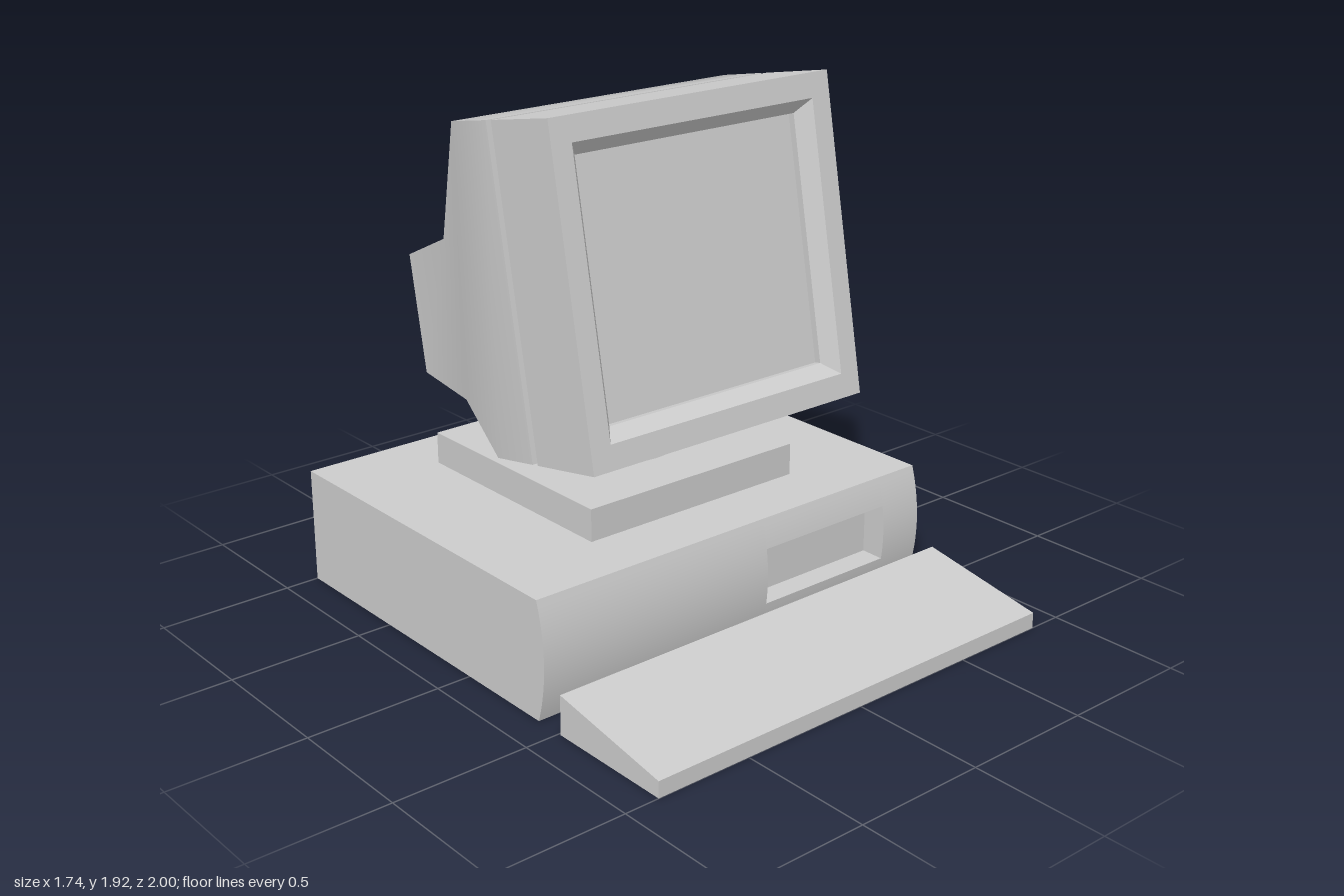
import * as THREE from 'three';
import { toCreasedNormals } from 'three/addons/utils/BufferGeometryUtils.js';

const material = new THREE.MeshStandardMaterial({ color: 0xcccccc });

function add(parent, name, geometry, x = 0, y = 0, z = 0) {
  const mesh = new THREE.Mesh(geometry, material);
  mesh.name = name;
  mesh.position.set(x, y, z);
  parent.add(mesh);
  return mesh;
}

// Extrudes a side profile of [z, y] points from x0 to x1
function sideExtrude(points, x0, x1) {
  const shape = new THREE.Shape(points.map(([z, y]) => new THREE.Vector2(z, y)));
  const geo = new THREE.ExtrudeGeometry(shape, { depth: x1 - x0, bevelEnabled: false });
  geo.rotateY(-Math.PI / 2).translate(x1, 0, 0);
  return toCreasedNormals(geo, 0.6);
}

// Points on the bowed front of the case, from y0 up to y1
function bowedFront(y0, y1, steps) {
  return Array.from({ length: steps + 1 }, (_, i) => {
    const y = y0 + (y1 - y0) * i / steps;
    return [0.393 + 0.035 * (1 - ((y - 0.218) / 0.218) ** 2), y];
  });
}

// Rectangular frame, hole given by half width and margin; lies from z = -depth to 0
const W = 0.607, H = 1.158;
function frame(holeX, margin, depth) {
  const shape = new THREE.Shape([[-W, 0], [W, 0], [W, H], [-W, H]].map(p => new THREE.Vector2(...p)));
  shape.holes.push(new THREE.Path([
    [-holeX, margin], [-holeX, H - margin], [holeX, H - margin], [holeX, margin],
  ].map(p => new THREE.Vector2(...p))));
  return new THREE.ExtrudeGeometry(shape, { depth, bevelEnabled: false }).translate(0, 0, -depth);
}

// Loft through rectangles [distance back, half width, bottom, top]
function loft(sections) {
  const pos = [], index = [];
  for (const [w, hx, b, t] of sections) pos.push(-hx, b, -w, hx, b, -w, hx, t, -w, -hx, t, -w);
  for (let i = 0; i < sections.length - 1; i++) {
    for (let j = 0; j < 4; j++) {
      const f = i * 4 + j, g = i * 4 + (j + 1) % 4;
      index.push(f, f + 4, g + 4, f, g + 4, g);
    }
  }
  const e = (sections.length - 1) * 4;
  index.push(0, 1, 2, 0, 2, 3, e, e + 2, e + 1, e, e + 3, e + 2);
  const geo = new THREE.BufferGeometry();
  geo.setAttribute('position', new THREE.Float32BufferAttribute(pos, 3));
  geo.setIndex(index);
  return toCreasedNormals(geo, 1.0);
}

export function createModel() {
  const model = new THREE.Group();
  model.name = 'desktopComputer';

  // Wedge keyboard
  add(model, 'keyboard', sideExtrude([[0.51, 0], [1, 0], [1, 0.06], [0.51, 0.145]], -0.87, 0.87));

  // Case with bowed front and a drive recess
  const unit = new THREE.Group();
  unit.name = 'systemCase';
  model.add(unit);
  const back = [[-1, 0.436], [-1, 0]];
  const full = [...bowedFront(0, 0.436, 20), ...back];
  const notched = [...bowedFront(0, 0.12, 6), [0.33, 0.12], [0.33, 0.33], ...bowedFront(0.33, 0.436, 6), ...back];
  add(unit, 'caseRightSection', sideExtrude(full, -0.87, 0.11));
  add(unit, 'driveRecessSection', sideExtrude(notched, 0.11, 0.69));
  add(unit, 'caseLeftSection', sideExtrude(full, 0.69, 0.87));

  // Plinth and swivel neck
  add(model, 'plinth', new THREE.BoxGeometry(0.925, 0.12, 0.925), 0, 0.496, -0.303);
  const neck = [[0.255, 0.55], [0.248, 0.58], [0.243, 0.64], [0.327, 0.745]];
  add(model, 'swivelNeck', toCreasedNormals(
    new THREE.LatheGeometry(neck.map(p => new THREE.Vector2(...p)), 40), 0.5), 0, 0, -0.303);

  // Tilted monitor, origin at its lower front edge
  const monitor = new THREE.Group();
  monitor.name = 'monitor';
  monitor.position.set(0, 0.779, 0.364);
  monitor.rotation.x = -0.185;
  model.add(monitor);

  // Front frame, its opening narrowed toward the back
  const bevel = frame(0.525, 0.088, 0.055);
  const p = bevel.attributes.position;
  for (let i = 0; i < p.count; i++) {
    if (p.getZ(i) > -0.01 || Math.abs(p.getX(i)) > 0.6) continue;
    p.setX(i, Math.sign(p.getX(i)) * 0.48);
    p.setY(i, p.getY(i) < H / 2 ? 0.133 : H - 0.133);
  }
  bevel.computeVertexNormals();
  add(monitor, 'screenBezel', bevel);
  add(monitor, 'screenSurround', frame(0.48, 0.133, 0.025), 0, 0, -0.055);
  add(monitor, 'screenBody', new THREE.BoxGeometry(2 * W, H, 0.23), 0, H / 2, -0.195);

  // Narrow groove between bezel and rear housing
  add(monitor, 'grooveCore', new THREE.BoxGeometry(1.16, H - 0.05, 0.05), 0, H / 2, -0.325);

  // Tapering rear housing
  add(monitor, 'rearHousing', loft([
    [0.34, W, 0, H],
    [0.542, W, 0, H],
    [0.927, 0.458, 0.135, 0.724],
    [1.217, 0.43, 0.206, 0.653],
  ]));

  return model;
}
